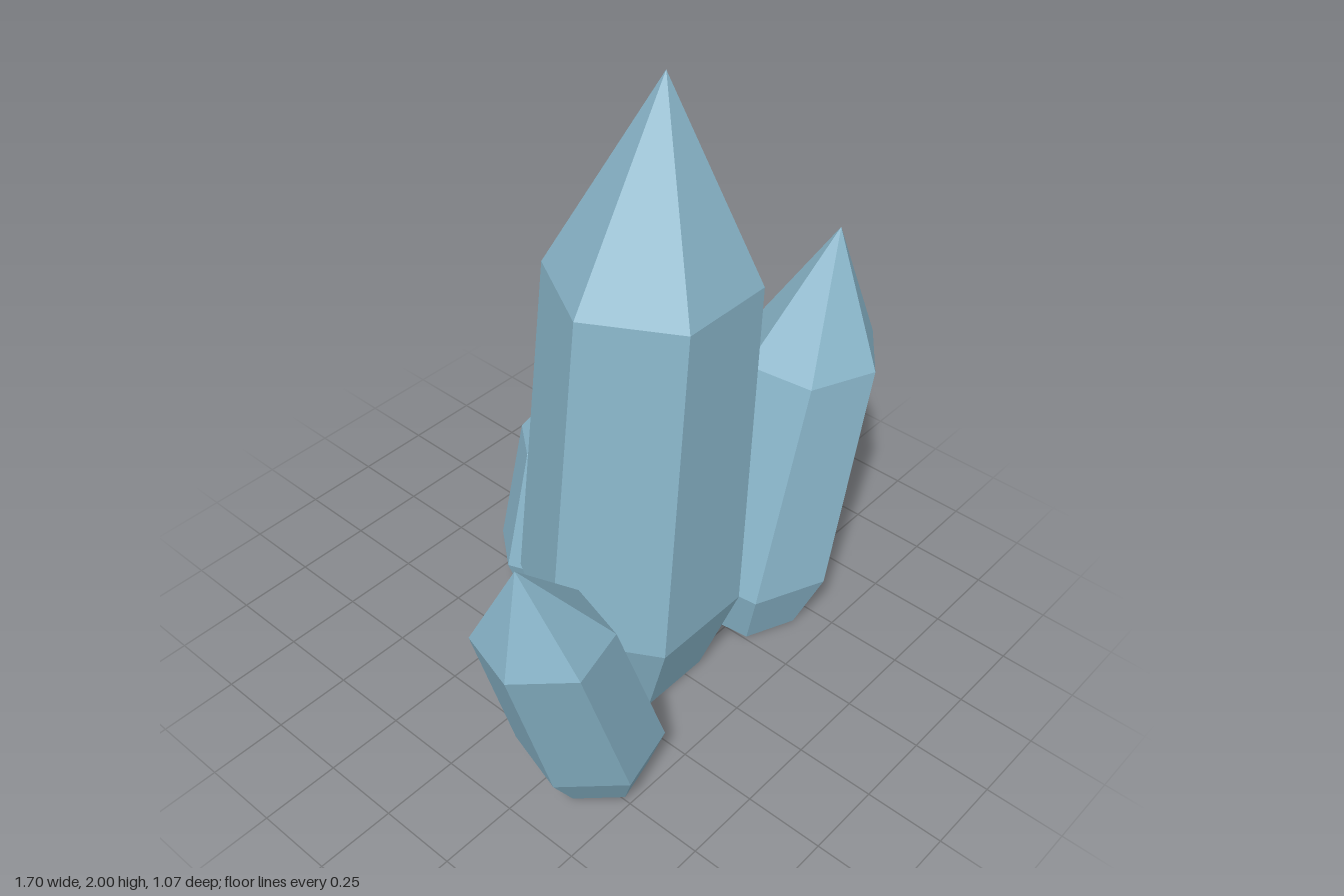
import * as THREE from 'three';

const crystalBlue = new THREE.MeshStandardMaterial({ color: 0x88b4c8, flatShading: true });
crystalBlue.name = 'crystalBlue';

// Six-sided crystal: narrow foot, wide shoulder, slight taper, pointed tip that leans along x
function makeCrystal({ name, x, z, radius, height, lean, turn }) {
  // [radius factor, height factor, share of the lean]
  const rings = [[0, 0, 0], [0.7, 0, 0], [1, 0.15, 0.1], [0.9, 0.7, 0.7], [0, 1, 1]];
  const profile = rings.map(([r, h]) => new THREE.Vector2(r * radius, h * height));
  const lathe = new THREE.LatheGeometry(profile, 6, Math.PI / 2 - turn);

  // Slide each ring sideways; lathe vertices run through the profile in order
  const pos = lathe.attributes.position;
  for (let i = 0; i < pos.count; i++) {
    pos.setX(i, pos.getX(i) + lean * rings[i % rings.length][2]);
  }
  const geometry = lathe.toNonIndexed();
  geometry.computeVertexNormals();

  const mesh = new THREE.Mesh(geometry, crystalBlue);
  mesh.name = name;
  mesh.position.set(x, 0, z);
  return mesh;
}

export function createModel() {
  const group = new THREE.Group();
  group.name = 'crystalCluster';
  const crystals = [
    { name: 'mainCrystal', x: -0.05, z: 0.075, radius: 0.35, height: 2, lean: 0.15, turn: 0 },
    { name: 'leftCrystal', x: 0.4, z: 0.225, radius: 0.25, height: 1.3, lean: 0.35, turn: 0.4 },
    { name: 'rightCrystal', x: -0.45, z: 0.325, radius: 0.22, height: 1, lean: -0.3, turn: 0.8 },
    { name: 'backCrystal', x: 0.05, z: -0.375, radius: 0.172, height: 0.75, lean: 0.15, turn: 1.2 },
  ];
  for (const c of crystals) group.add(makeCrystal(c));
  return group;
}
